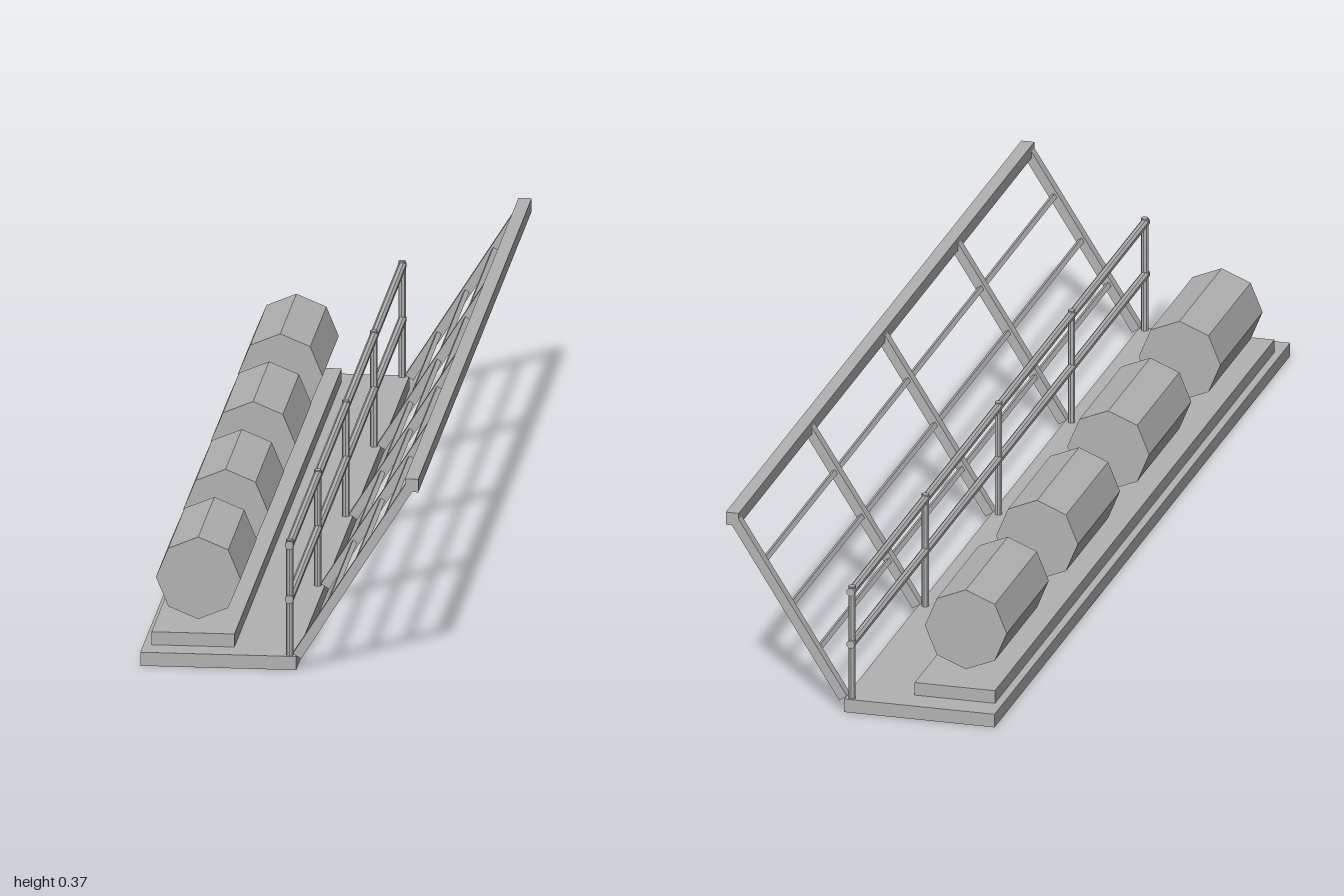
import * as THREE from 'three';

export function createModel() {
  const model = new THREE.Group();
  const gray = new THREE.MeshStandardMaterial({ color: 0xb2b2b2, flatShading: true });
  gray.name = 'plain gray';

  const add = (name, geometry, x, y, z) => {
    const mesh = new THREE.Mesh(geometry, gray);
    mesh.name = name;
    mesh.position.set(x, y, z);
    model.add(mesh);
    return mesh;
  };
  const box = (name, w, h, d, x, y, z) => add(name, new THREE.BoxGeometry(w, h, d), x, y, z);
  // Eight-sided bar running along z
  const lengthwise = (name, r, length, x, y, z, turn = 0) => {
    const g = new THREE.CylinderGeometry(r, r, length, 8).rotateX(Math.PI / 2).rotateZ(turn);
    return add(name, g, x, y, z);
  };

  // Deck and the plinth under the drums
  box('deck', 0.291, 0.026, 2, -0.1145, 0.013, 0);
  box('plinth', 0.155, 0.025, 1.89, -0.1675, 0.0385, 0);

  // Octagonal drums, one corner pointing up
  for (let i = 0; i < 4; i++) {
    lengthwise('drum', 0.079, 0.285, -0.166, 0.135, (i - 1.5) * 0.482);
  }

  // Upright handrail: posts and two rails
  const stations = [-0.99, -0.495, 0, 0.495, 0.99];
  for (const z of stations) {
    add('railPost', new THREE.CylinderGeometry(0.007, 0.007, 0.224, 8), 0.018, 0.137, z);
  }
  for (const y of [0.135, 0.239]) {
    lengthwise('handrail', 0.0082, 2, 0.018, y, 0, Math.PI / 8);
  }

  // Outward-leaning fence: struts, top beam and thin bars
  const foot = new THREE.Vector2(0.0325, 0.027);
  const head = new THREE.Vector2(0.243, 0.359);
  const span = head.clone().sub(foot);
  const lean = Math.atan2(span.y, span.x) - Math.PI / 2;
  const middle = foot.clone().lerp(head, 0.5);
  for (const z of stations) {
    box('strut', 0.018, span.length(), 0.02, middle.x, middle.y, z).rotation.z = lean;
  }
  box('topBeam', 0.025, 0.025, 2, 0.2465, 0.361, 0);
  for (const t of [0.255, 0.503, 0.752]) {
    const p = foot.clone().lerp(head, t);
    box('fenceBar', 0.009, 0.009, 1.98, p.x, p.y, 0).rotation.z = lean;
  }

  return model;
}
